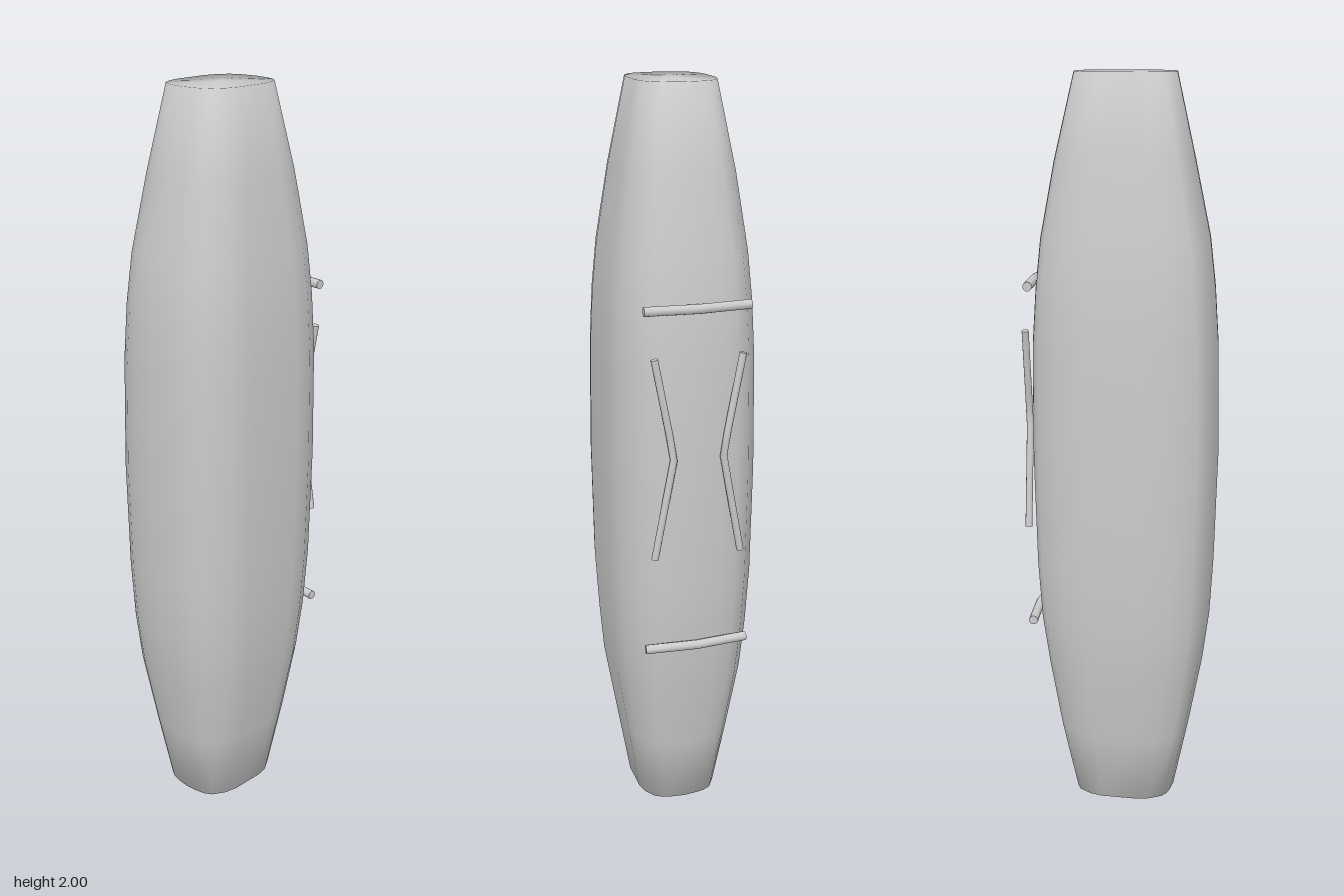
import * as THREE from 'three';

const material = new THREE.MeshStandardMaterial({ color: 0xcccccc });

// Height, half width, front depth and back depth of each body section
const SECTIONS = [
  [0, 0.11, 0.142, 0.136],
  [0.2, 0.143, 0.183, 0.178],
  [0.4, 0.176, 0.22, 0.21],
  [0.54, 0.187, 0.238, 0.23],
  [0.7, 0.196, 0.247, 0.24],
  [1.0, 0.2, 0.255, 0.247],
  [1.3, 0.197, 0.25, 0.244],
  [1.45, 0.19, 0.24, 0.234],
  [1.58, 0.178, 0.225, 0.22],
  [1.78, 0.148, 0.183, 0.182],
  [2, 0.105, 0.134, 0.13],
];

// One quarter of the rounded cross-section, as fractions of width and depth
const QUARTER = [[0, 1], [0.35, 0.97], [0.575, 0.925], [0.75, 0.84], [0.925, 0.61], [1, 0.35]];

function createBody() {
  // Mirror the quarter into a closed ring, counter-clockwise seen from above
  const half = [...QUARTER, ...QUARTER.slice().reverse().map(([x, z]) => [x, -z])];
  const ring = [...half, ...half.slice(1, -1).reverse().map(([x, z]) => [-x, z])];
  const n = ring.length;
  const positions = [];
  const index = [];

  for (const [y, width, front, back] of SECTIONS) {
    for (const [x, z] of ring) positions.push(x * width, y, z * (z > 0 ? front : back));
  }
  const last = (SECTIONS.length - 1) * n;
  const bottom = SECTIONS.length * n;
  const top = bottom + 1;
  positions.push(0, 0, 0, 0, 2, 0);

  for (let i = 0; i < n; i++) {
    const j = (i + 1) % n;
    for (let s = 0; s < SECTIONS.length - 1; s++) {
      const a = s * n + i, b = s * n + j;
      index.push(a, b, b + n, a, b + n, a + n);
    }
    // Flat ends, smoothly shaded into the sides
    index.push(bottom, j, i, top, last + i, last + j);
  }

  const geometry = new THREE.BufferGeometry();
  geometry.setAttribute('position', new THREE.Float32BufferAttribute(positions, 3));
  geometry.setIndex(index);
  geometry.computeVertexNormals();
  const body = new THREE.Mesh(geometry, material);
  body.name = 'body';
  return body;
}

// Round rod bent through three points, with closed ends
function createRod(name, points, radius) {
  const [a, b, c] = points.map((p) => new THREE.Vector3(...p));
  const path = new THREE.CurvePath();
  path.add(new THREE.LineCurve3(a, b));
  path.add(new THREE.LineCurve3(b, c));
  const rod = new THREE.Group();
  rod.name = name;
  const tube = new THREE.Mesh(new THREE.TubeGeometry(path, 8, radius, 10), material);
  tube.name = name + 'Tube';
  rod.add(tube);
  for (const [end, inner] of [[a, b], [c, b]]) {
    const cap = new THREE.Mesh(new THREE.CircleGeometry(radius, 10), material);
    cap.name = name + 'Cap';
    cap.position.copy(end);
    cap.quaternion.setFromUnitVectors(new THREE.Vector3(0, 0, 1), end.clone().sub(inner).normalize());
    rod.add(cap);
  }
  return rod;
}

export function createModel() {
  const model = new THREE.Group();
  model.name = 'pod';
  model.add(createBody());

  // Cross bars on the back
  for (const [name, y] of [['upperBar', 1.465], ['lowerBar', 0.54]]) {
    model.add(createRod(name, [[-0.14, y, -0.232], [0, y, -0.243], [0.14, y, -0.232]], 0.0125));
  }

  // Bent strips between the bars, their bends pointing inward
  for (const [name, side] of [['leftStrip', 1], ['rightStrip', -1]]) {
    model.add(createRod(name, [
      [side * 0.117, 0.805, -0.245],
      [side * 0.066, 1.08, -0.248],
      [side * 0.117, 1.345, -0.245],
    ], 0.0095));
  }

  return model;
}
